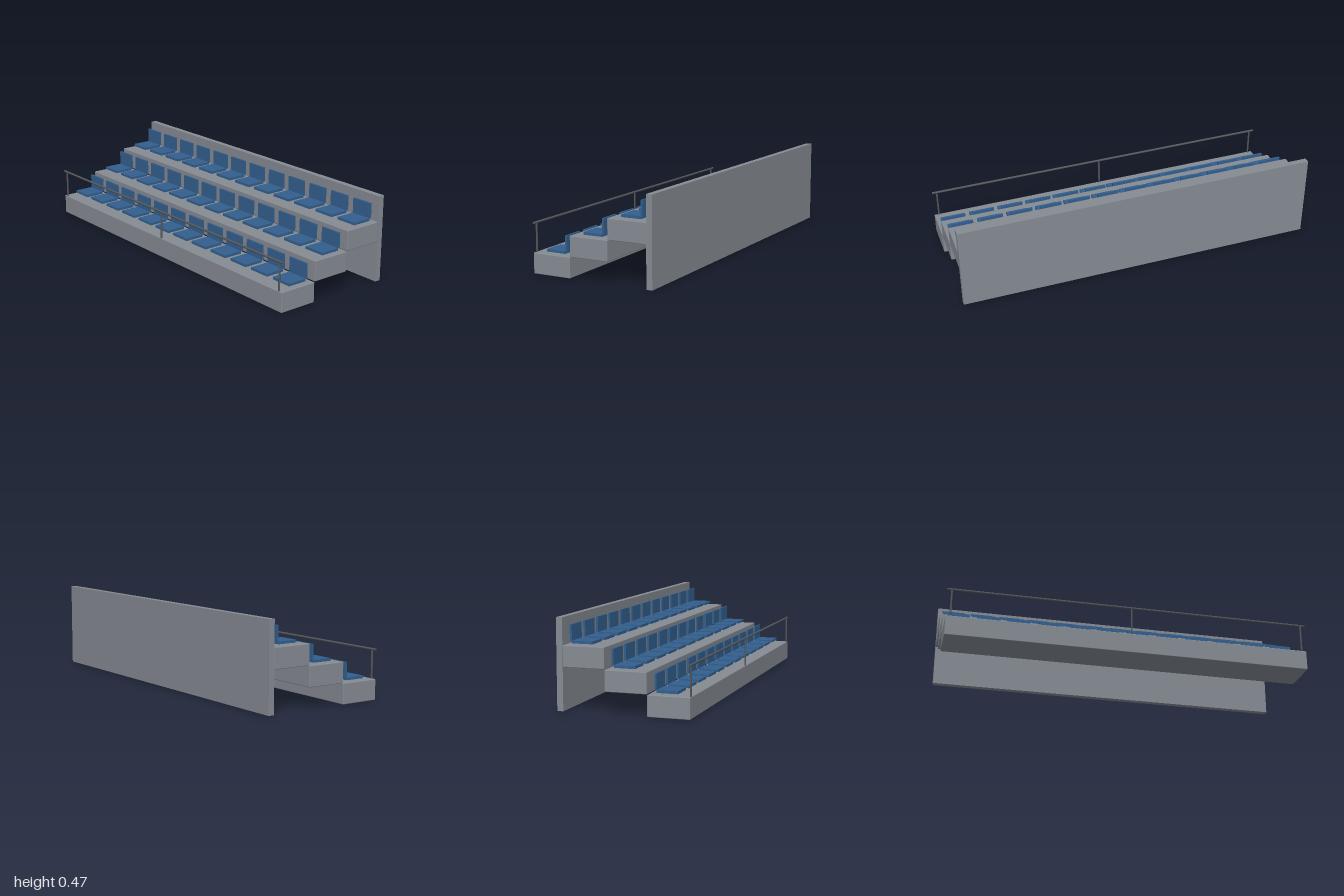
import * as THREE from 'three';
import { RoundedBoxGeometry } from 'three/addons/geometries/RoundedBoxGeometry.js';

export function createModel() {
  const concrete = new THREE.MeshStandardMaterial({ color: 0x868b93 });
  concrete.name = 'concrete';
  const seatBlue = new THREE.MeshStandardMaterial({ color: 0x325f8e });
  seatBlue.name = 'seatBlue';
  const railMetal = new THREE.MeshStandardMaterial({ color: 0x55585c });
  railMetal.name = 'railMetal';

  const model = new THREE.Group();
  model.name = 'grandstand';

  const add = (parent, name, geometry, material, x, y, z) => {
    const mesh = new THREE.Mesh(geometry, material);
    mesh.name = name;
    mesh.position.set(x, y, z);
    parent.add(mesh);
    return mesh;
  };

  const rows = 3, seatsPerRow = 12, pitch = 2 / seatsPerRow;
  const rise = 0.1115, run = 0.2225;
  const tierGeo = new RoundedBoxGeometry(2, 0.1105, 0.2215, 2, 0.004);
  const panGeo = new THREE.BoxGeometry(0.122, 0.014, 0.111);
  const backGeo = new THREE.BoxGeometry(0.122, 0.083, 0.011);

  // Stepped tiers, each with a row of seats
  for (let r = 0; r < rows; r++) {
    const row = new THREE.Group();
    row.name = `row${r + 1}`;
    row.position.set(0, r * rise, -r * run);
    model.add(row);
    add(row, 'tier', tierGeo, concrete, 0, 0.0555, 0.239);
    for (let i = 0; i < seatsPerRow; i++) {
      const seat = new THREE.Group();
      seat.name = 'seat';
      seat.position.x = -1 + pitch * (i + 0.5);
      row.add(seat);
      add(seat, 'seatPan', panGeo, seatBlue, 0, 0.126, 0.2255);
      add(seat, 'seatBack', backGeo, seatBlue, 0, 0.1725, 0.1645);
    }
  }

  // Rear wall
  add(model, 'backWall', new THREE.BoxGeometry(2, 0.473, 0.033), concrete, 0, 0.2365, -0.3335);

  // Front guard rail on three posts
  const rail = add(model, 'handrail', new THREE.CylinderGeometry(0.006, 0.006, 2, 12), railMetal, 0, 0.265, 0.345);
  rail.rotation.z = Math.PI / 2;
  const postGeo = new THREE.CylinderGeometry(0.005, 0.005, 0.155, 10);
  for (const x of [-0.974, 0, 0.974]) add(model, 'railPost', postGeo, railMetal, x, 0.1875, 0.345);

  return model;
}
